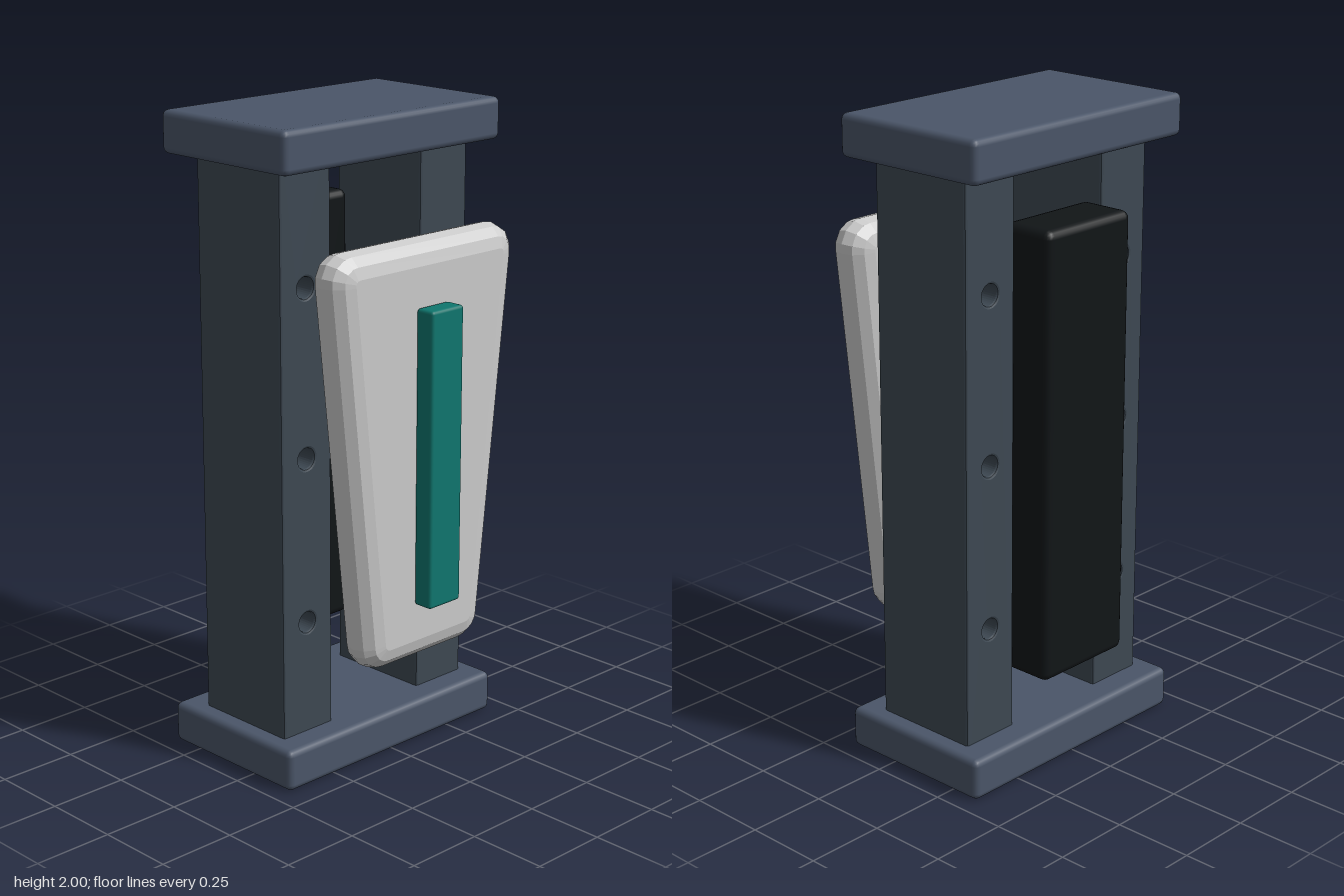
import * as THREE from 'three';
import { RoundedBoxGeometry } from 'three/addons/geometries/RoundedBoxGeometry.js';

const paint = (color) => new THREE.MeshStandardMaterial({ color });

export function createModel() {
  const model = new THREE.Group();
  const capPaint = paint(0x4a5568);
  const postPaint = paint(0x3d4852);

  function add(name, geometry, material, x, y, z) {
    const mesh = new THREE.Mesh(geometry, material);
    mesh.name = name;
    mesh.position.set(x, y, z);
    model.add(mesh);
    return mesh;
  }

  // Top and bottom plates
  const plate = new RoundedBoxGeometry(0.886, 0.13, 0.532, 2, 0.02);
  add('bottomPlate', plate, capPaint, 0, 0.065, -0.09);
  add('topPlate', plate, capPaint, 0, 1.935, -0.09);

  // Side posts, each with three holes drilled front to back
  const bevel = 0.008;
  const halfWidth = 0.1 - bevel;
  const outline = new THREE.Shape();
  outline.moveTo(-halfWidth, 0.05);
  outline.lineTo(halfWidth, 0.05);
  outline.lineTo(halfWidth, 1.95);
  outline.lineTo(-halfWidth, 1.95);
  outline.closePath();
  for (const y of [0.483, 1, 1.517]) {
    const hole = new THREE.Path();
    hole.absarc(0, y, 0.032 + bevel, 0, Math.PI * 2, true);
    outline.holes.push(hole);
  }
  const post = new THREE.ExtrudeGeometry(outline, {
    depth: 0.355 - 2 * bevel, bevelThickness: bevel, bevelSize: bevel,
    bevelSegments: 2, curveSegments: 16,
  });
  for (const [name, side] of [['leftPost', 1], ['rightPost', -1]]) {
    add(name, post, postPaint, side * 0.286, 0, -0.265 + bevel);
  }

  // Block on the back, held between the posts
  add('backBlock', new RoundedBoxGeometry(0.356, 1.395, 0.18, 2, 0.025),
    paint(0x111517), 0, 1.0025, -0.3);

  // Tapered front panel with fully rounded rim
  const corners = [[-0.181, 0.425], [0.181, 0.425], [0.308, 1.58], [-0.308, 1.58]]
    .map(([x, y]) => new THREE.Vector2(x, y));
  const taper = new THREE.Shape();
  corners.forEach((corner, i) => {
    const towards = (other) => other.clone().sub(corner).setLength(0.02).add(corner);
    const start = towards(corners[(i + 3) % 4]);
    const end = towards(corners[(i + 1) % 4]);
    if (i === 0) taper.moveTo(start.x, start.y);
    else taper.lineTo(start.x, start.y);
    taper.quadraticCurveTo(corner.x, corner.y, end.x, end.y);
  });
  taper.closePath();
  const panel = new THREE.ExtrudeGeometry(taper, {
    depth: 0.002, bevelThickness: 0.069, bevelSize: 0.07,
    bevelSegments: 3, curveSegments: 4,
  });
  add('frontPanel', panel, paint(0xd4d4d8), 0, 0, 0.249);

  // Coloured strip on the panel
  add('frontStrip', new RoundedBoxGeometry(0.131, 0.915, 0.067, 2, 0.01),
    paint(0x0f766e), 0, 1.0025, 0.3535);

  return model;
}
